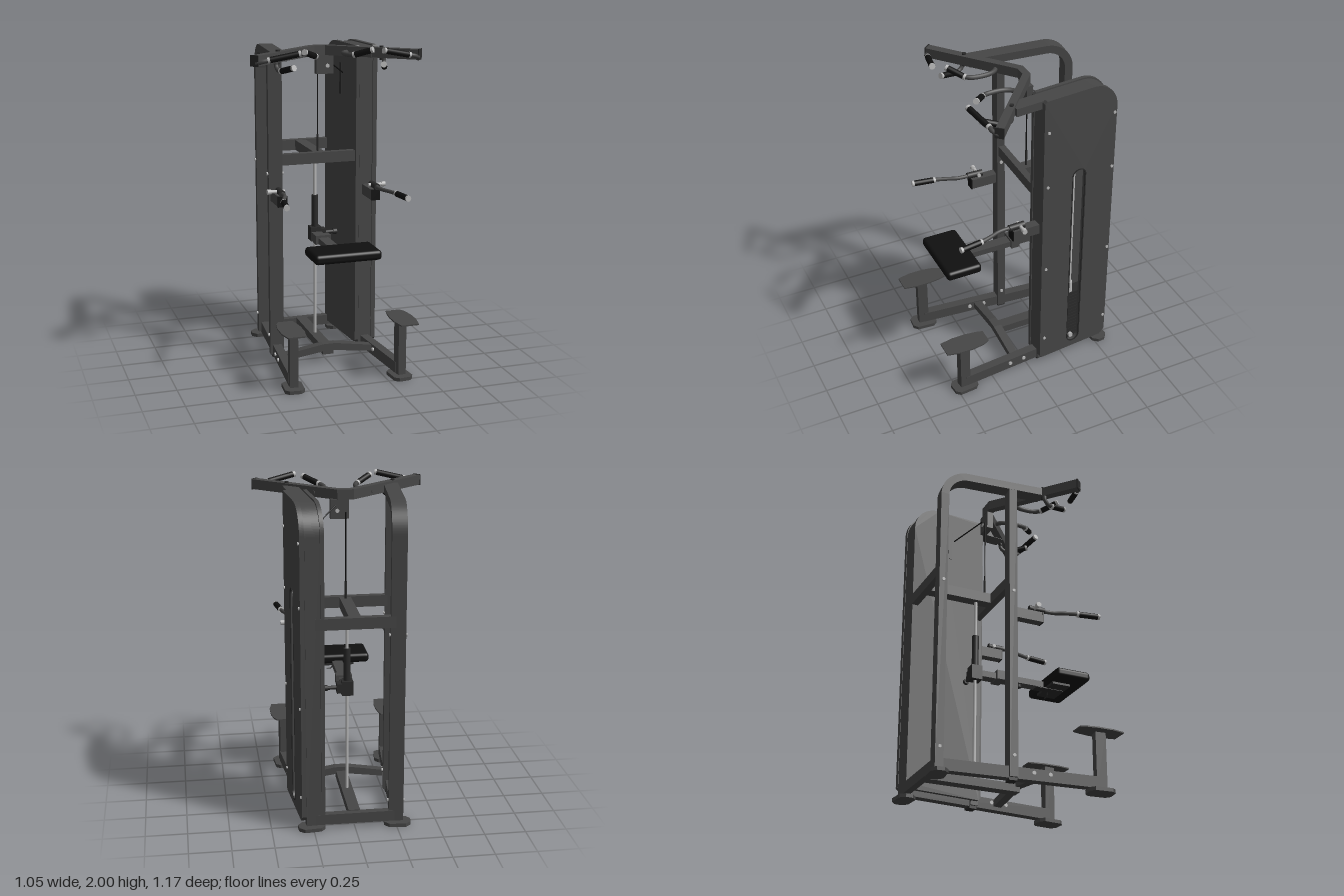
import * as THREE from 'three';
import { RoundedBoxGeometry } from 'three/addons/geometries/RoundedBoxGeometry.js';

const mat = (name, color) => Object.assign(new THREE.MeshStandardMaterial({ color }), { name });

export function createModel() {
  const frame = mat('charcoal paint', 0x464646);
  const dark = mat('dark steel', 0x2a2a2a);
  const black = mat('black rubber', 0x101010);
  const chrome = mat('bright metal', 0xb8b8b8);
  const model = new THREE.Group();
  const V = (p) => new THREE.Vector3(...p);

  const add = (parent, name, geometry, material) => {
    const mesh = new THREE.Mesh(geometry, material);
    mesh.name = name;
    parent.add(mesh);
    return mesh;
  };
  // Box given by its lower and upper limits on each axis
  const box = (parent, name, [x0, x1], [y0, y1], [z0, z1], material = frame) => {
    const w = Math.abs(x1 - x0), h = y1 - y0, d = z1 - z0;
    const mesh = add(parent, name, new THREE.BoxGeometry(w, h, d), material);
    mesh.position.set((x0 + x1) / 2, (y0 + y1) / 2, (z0 + z1) / 2);
    return mesh;
  };
  // Round bar between two points
  const rod = (parent, name, a, b, r, material) => {
    const from = V(a), to = V(b), dir = to.clone().sub(from);
    const mesh = add(parent, name, new THREE.CylinderGeometry(r, r, dir.length(), 16), material);
    mesh.position.copy(from).add(to).multiplyScalar(0.5);
    mesh.quaternion.setFromUnitVectors(new THREE.Vector3(0, 1, 0), dir.normalize());
    return mesh;
  };
  const tube = (parent, name, pts, r, material) => add(parent, name,
    new THREE.TubeGeometry(new THREE.CatmullRomCurve3(pts.map(V), false, 'centripetal'), 28, r, 10), material);
  // Horizontal slab from [x, z] corners
  const slab = (parent, name, pts, y, h, material = frame) => {
    const shape = new THREE.Shape(pts.map(([x, z]) => new THREE.Vector2(x, -z)));
    const geo = new THREE.ExtrudeGeometry(shape, { depth: h, bevelEnabled: false });
    geo.rotateX(-Math.PI / 2).translate(0, y, 0);
    return add(parent, name, geo, material);
  };
  const octagon = (cx, cz, w, d, c) => [[-w, -d + c], [-w + c, -d], [w - c, -d], [w, -d + c],
    [w, d - c], [w - c, d], [-w + c, d], [-w, d - c]].map(([x, z]) => [cx + x, cz + z]);
  // Side profile (z, y) extruded across x between x0 and x1
  const profile = (parent, name, shape, x0, x1, material = frame) => {
    const geo = new THREE.ExtrudeGeometry(shape, { depth: Math.abs(x1 - x0), bevelEnabled: false, curveSegments: 16 });
    geo.rotateY(-Math.PI / 2).translate(Math.max(x0, x1), 0, 0);
    return add(parent, name, geo, material);
  };
  const grip = (parent, name, a, b, r = 0.018) => {
    rod(parent, name, a, b, r, black);
    const end = V(b), dir = end.clone().sub(V(a)).normalize();
    rod(parent, name + 'Cap', b, end.addScaledVector(dir, 0.014).toArray(), r, chrome);
    const start = V(a);
    rod(parent, name + 'Collar', a, start.addScaledVector(dir, -0.014).toArray(), r, chrome);
  };

  // Bent top beam with rear upright
  const archShape = () => {
    const s = new THREE.Shape();
    s.moveTo(0.1, 1.962).lineTo(-0.386, 1.962);
    s.absarc(-0.386, 1.79, 0.172, Math.PI / 2, Math.PI, false);
    s.lineTo(-0.558, 0.03).lineTo(-0.508, 0.03).lineTo(-0.508, 1.79);
    s.absarc(-0.386, 1.79, 0.122, Math.PI, Math.PI / 2, true);
    s.lineTo(0.1, 1.912);
    return s;
  };
  const panelShape = () => {
    const s = new THREE.Shape();
    s.moveTo(-0.08, 0.055).lineTo(-0.065, 0.07).lineTo(-0.065, 1.955).lineTo(-0.08, 1.97).lineTo(-0.39, 1.97);
    s.absarc(-0.39, 1.8, 0.17, Math.PI / 2, Math.PI, false);
    s.lineTo(-0.56, 0.09).lineTo(-0.525, 0.055);
    return s;
  };

  for (const s of [1, -1]) {
    // Side frame, slightly splayed toward the front
    const side = new THREE.Group();
    side.name = s > 0 ? 'leftSideFrame' : 'rightSideFrame';
    side.position.x = 0.298 * s;
    side.rotation.y = 0.09 * s;
    model.add(side);
    profile(side, 'archBeam', archShape(), -0.044, 0.044);
    box(side, 'frontUpright', [-0.043, 0.043], [0.03, 1.93], [-0.118, -0.068]);
    box(side, 'baseRail', [-0.027, 0.027], [0.025, 0.095], [-0.53, 0.45]);
    box(side, 'footPost', [-0.025, 0.025], [0.025, 0.372], [0.42, 0.485]);
    slab(side, 'rearFoot', octagon(s * 0.01, -0.535, 0.08, 0.052, 0.03), 0, 0.022);
    slab(side, 'frontFoot', octagon(0, 0.45, 0.06, 0.08, 0.025), 0, 0.022);
    box(side, 'middleFoot', [-0.03, 0.03], [0.012, 0.03], [-0.12, -0.07], dark);
    for (const z of [0.13, 0.03])
      rod(side, 'railBolt', [-0.036, 0.068, z], [0.036, 0.068, z], 0.012, chrome);
    if (s < 0) for (const y of [0.155, 1.2]) for (const z of [-0.093, -0.533])
      rod(side, 'frameBolt', [-0.052, y, z], [0.052, y, z], 0.01, chrome);

    // Foot step plate
    slab(model, 'stepPlate', [[0.30, 0.30], [0.39, 0.30], [0.41, 0.34], [0.422, 0.41], [0.422, 0.5], [0.405, 0.583],
      [0.295, 0.583], [0.28, 0.5], [0.28, 0.41], [0.29, 0.34]].map(([x, z]) => [x * s, z]), 0.37, 0.008);

    // Dip handle with bracket
    box(model, 'dipBracket', [s * 0.27, s * 0.325], [1.035, 1.1], [-0.075, 0.1]);
    box(model, 'dipBracketCap', [s * 0.268, s * 0.327], [1.033, 1.102], [0.1, 0.106], black);
    rod(model, 'dipClamp', [s * 0.3, 1.12, 0.02], [s * 0.303, 1.12, 0.12], 0.02, dark);
    rod(model, 'dipPivot', [s * 0.27, 1.12, 0.05], [s * 0.37, 1.12, 0.05], 0.011, chrome);
    rod(model, 'dipKnob', [s * 0.355, 1.12, 0.05], [s * 0.378, 1.12, 0.05], 0.016, chrome);
    tube(model, 'dipTube', [[s * 0.302, 1.12, 0.02], [s * 0.305, 1.12, 0.18], [s * 0.33, 1.12, 0.25],
      [s * 0.352, 1.12, 0.32], [s * 0.36, 1.12, 0.38]], 0.012, frame);
    grip(model, 'dipGrip', [s * 0.353, 1.12, 0.33], [s * 0.371, 1.12, 0.45]);

    // Pull-up handles: outer, middle and inner
    tube(model, 'outerHandleTube', [[s * 0.49, 1.93, 0.25], [s * 0.492, 1.93, 0.275], [s * 0.465, 1.94, 0.295],
      [s * 0.42, 1.95, 0.303]], 0.013, frame);
    grip(model, 'outerGrip', [s * 0.42, 1.95, 0.303], [s * 0.262, 1.983, 0.343]);
    tube(model, 'middleHandleTube', [[s * 0.335, 1.93, 0.12], [s * 0.335, 1.89, 0.123], [s * 0.328, 1.867, 0.15],
      [s * 0.317, 1.868, 0.18]], 0.013, frame);
    grip(model, 'middleGrip', [s * 0.316, 1.868, 0.182], [s * 0.278, 1.893, 0.275]);
    tube(model, 'innerHandleTube', [[s * 0.18, 1.94, -0.03], [s * 0.12, 1.94, 0.015], [s * 0.098, 1.942, 0.07],
      [s * 0.103, 1.945, 0.17], [s * 0.13, 1.95, 0.21]], 0.014, frame);
    grip(model, 'innerGrip', [s * 0.125, 1.95, 0.205], [s * 0.2, 1.98, 0.27]);

    // Handlebar end cap and fixing bolt
    const cap = box(model, 'handlebarCap', [-0.003, 0.003], [1.912, 1.978], [-0.027, 0.027], dark);
    cap.position.set(s * 0.504, 1.945, 0.274);
    cap.rotation.y = -s * 0.73;
    rod(model, 'handlebarBolt', [s * 0.322, 1.9, 0.115], [s * 0.322, 1.984, 0.115], 0.012, dark);
  }

  // V-shaped pull-up bar
  const half = [[0.05, -0.137], [0.52, 0.255], [0.487, 0.292], [0.033, -0.093]];
  slab(model, 'pullUpBar', [...half, ...half.slice().reverse().map(([x, z]) => [-x, z])], 1.915, 0.06);

  // Cross members
  for (const [name, w, z] of [['frontCrossbar', 0.27, -0.115], ['rearCrossbar', 0.235, -0.555]])
    box(model, name, [-w, w], [1.25, 1.318], [z, z + 0.042]);
  box(model, 'topCentreBeam', [-0.035, 0.035], [1.252, 1.316], [-0.515, -0.11]);
  box(model, 'baseRearCrossbar', [-0.25, 0.25], [0.03, 0.095], [-0.555, -0.513]);
  box(model, 'baseCentreBeam', [-0.035, 0.035], [0.05, 0.1], [-0.52, 0.08]);
  const ridge = new THREE.Shape([[-0.3, 0.045], [0, 0.085], [0.3, 0.045], [0.3, 0.085], [0.04, 0.127], [-0.04, 0.127],
    [-0.3, 0.085]].map((p) => new THREE.Vector2(...p)));
  add(model, 'baseFrontCrossbar', new THREE.ExtrudeGeometry(ridge, { depth: 0.052, bevelEnabled: false }), frame)
    .position.z = 0.05;

  // Weight tower: shroud panels, weight stack, guide rod
  const tower = new THREE.Group();
  tower.name = 'weightTower';
  tower.position.x = 0.298;
  tower.rotation.y = 0.09;
  model.add(tower);
  const stadium = (C, r, y0, y1) => {
    const p = new C();
    p.moveTo(-0.313 + r, y0 + r).lineTo(-0.313 + r, y1 - r);
    p.absarc(-0.313, y1 - r, r, 0, Math.PI, false);
    p.lineTo(-0.313 - r, y0 + r);
    p.absarc(-0.313, y0 + r, r, Math.PI, Math.PI * 2, false);
    return p;
  };
  const outer = panelShape();
  outer.holes.push(stadium(THREE.Path, 0.045, 0.1, 1.44));
  profile(tower, 'outerPanel', outer, 0.045, 0.073);
  profile(tower, 'innerPanel', panelShape(), -0.068, -0.045);
  const rim = stadium(THREE.Shape, 0.048, 0.097, 1.443);
  rim.holes.push(stadium(THREE.Path, 0.041, 0.104, 1.436));
  profile(tower, 'slotRim', rim, 0.07, 0.076, dark);
  box(tower, 'cableSlot', [-0.071, -0.067], [1.64, 1.84], [-0.32, -0.29], dark);
  for (let i = 0; i < 15; i++)
    box(tower, 'weightPlate', [-0.035, 0.038], [0.1 + i * 0.025, 0.121 + i * 0.025], [-0.42, -0.2], dark);
  box(tower, 'weightCore', [-0.03, 0.03], [0.09, 0.47], [-0.41, -0.21], black);
  rod(tower, 'guideRod', [0.015, 0.1, -0.313], [0.015, 1.9, -0.313], 0.01, chrome);
  rod(tower, 'stackHead', [0.015, 0.47, -0.313], [0.015, 0.55, -0.313], 0.018, chrome);
  rod(tower, 'stackPin', [0.03, 0.125, -0.313], [0.055, 0.125, -0.313], 0.016, chrome);
  for (const y of [0.215, 0.775, 1.385, 1.76]) for (const z of [-0.095, -0.543])
    rod(tower, 'panelBolt', [0.07, y, z], [0.08, y, z], 0.009, chrome);

  // Seat on its sliding arm
  add(model, 'seatPad', new RoundedBoxGeometry(0.415, 0.06, 0.227, 4, 0.022), black).position.set(0, 0.792, 0.367);
  box(model, 'seatPlate', [-0.11, 0.11], [0.748, 0.764], [0.27, 0.39], dark);
  box(model, 'seatArm', [-0.033, 0.033], [0.748, 0.786], [-0.2, 0.245]);
  box(model, 'seatBrace', [-0.03, 0.03], [0.745, 0.752], [0.2, 0.38], dark);
  box(model, 'seatSleeve', [-0.05, 0.05], [0.743, 0.8], [-0.075, -0.02]);
  rod(model, 'seatStop', [0, 0.73, 0.09], [0, 0.75, 0.09], 0.018, dark);
  tube(model, 'seatLever', [[0.02, 0.745, 0.3], [0.035, 0.72, 0.3], [0.065, 0.72, 0.3]], 0.004, dark);

  // Carriage on the centre guide
  box(model, 'carriage', [-0.035, 0.035], [0.725, 0.815], [-0.235, -0.165], dark);
  box(model, 'pinBracket', [0.035, 0.065], [0.74, 0.8], [-0.23, -0.17], dark);
  rod(model, 'adjusterPin', [0.06, 0.77, -0.2], [0.125, 0.77, -0.2], 0.012, dark);
  rod(model, 'adjusterKnob', [0.12, 0.77, -0.2], [0.145, 0.77, -0.2], 0.018, dark);
  rod(model, 'centreRod', [0, 0.09, -0.2], [0, 1.26, -0.2], 0.01, chrome);
  rod(model, 'centreSleeve', [0, 0.81, -0.2], [0, 1.02, -0.2], 0.021, dark);

  // Pulley housing and cable
  box(model, 'pulleyHousing', [-0.02, 0.09], [1.8, 1.918], [-0.135, -0.095]);
  rod(model, 'pulleyAxle', [0.05, 1.85, -0.14], [0.05, 1.85, -0.088], 0.012, chrome);
  rod(model, 'verticalCable', [0, 1.3, -0.14], [0, 1.84, -0.14], 0.004, black);
  rod(model, 'cableEnd', [0, 1.3, -0.14], [0, 1.42, -0.14], 0.007, dark);
  rod(model, 'towerCable', [0.06, 1.88, -0.135], [0.22, 1.77, -0.28], 0.004, black);
  return model;
}
